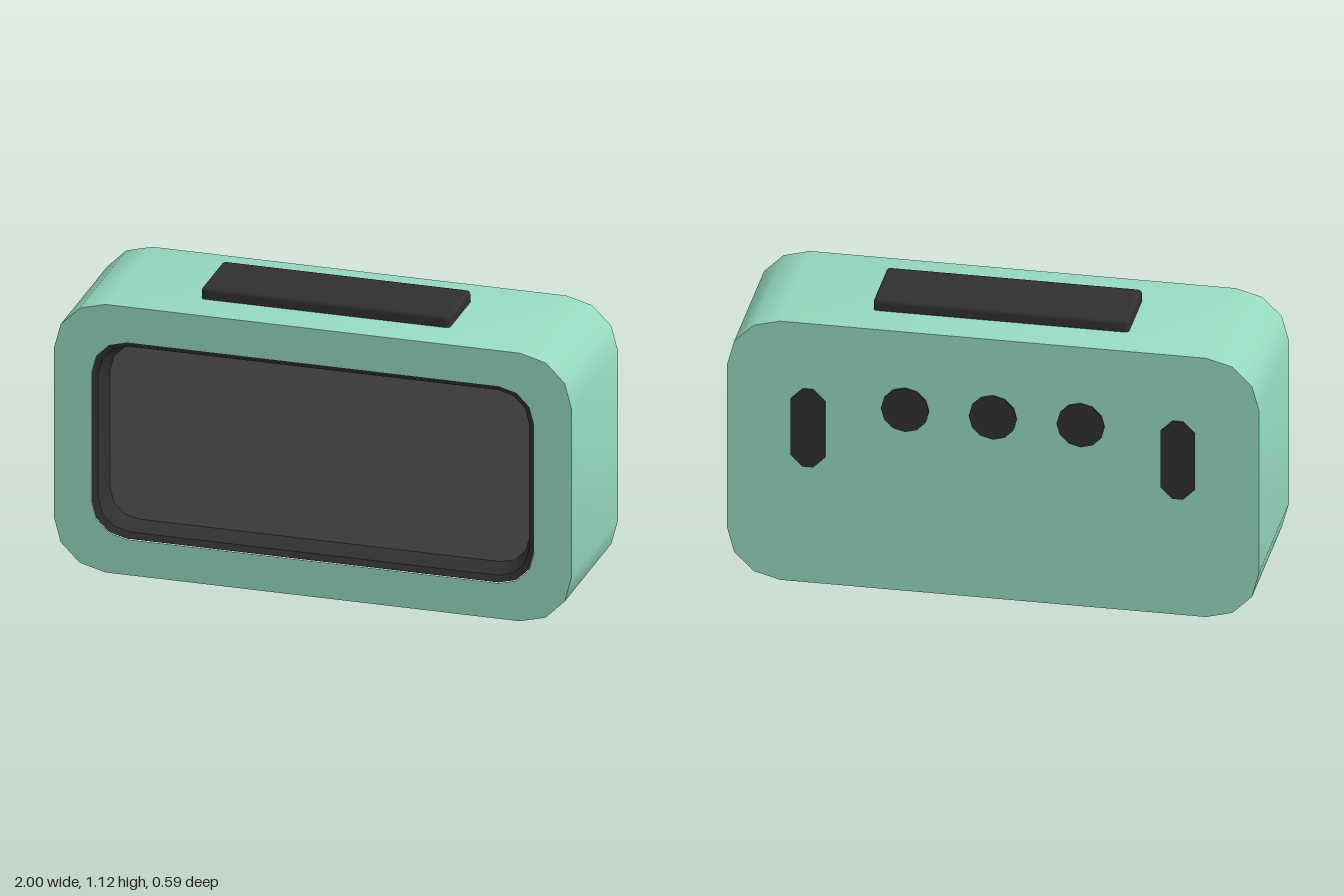
import * as THREE from 'three';
import { toCreasedNormals } from 'three/addons/utils/BufferGeometryUtils.js';
import { RoundedBoxGeometry } from 'three/addons/geometries/RoundedBoxGeometry.js';

const green = new THREE.MeshStandardMaterial({ color: 0x96d9c0 });
const dark = new THREE.MeshStandardMaterial({ color: 0x303030 });
const grey = new THREE.MeshStandardMaterial({ color: 0x555555 });

// Rounded rectangle outline, counter-clockwise seen from the front
function outline([w, h, r, z], steps) {
  const points = [];
  for (let corner = 0; corner < 4; corner++) {
    const sx = corner === 0 || corner === 3 ? 1 : -1;
    const sy = corner < 2 ? 1 : -1;
    for (let i = 0; i <= steps; i++) {
      const a = (corner + i / steps) * Math.PI / 2;
      points.push([sx * (w - r) + r * Math.cos(a), sy * (h - r) + r * Math.sin(a), z]);
    }
  }
  return points;
}

// Skin through rings of [halfWidth, halfHeight, cornerRadius, z], with optional flat caps
function loft(rings, { steps = 3, back = false, front = false } = {}) {
  const loops = rings.map((ring) => outline(ring, steps));
  const n = loops[0].length;
  const index = [];
  for (let k = 0; k < loops.length - 1; k++) {
    for (let i = 0; i < n; i++) {
      const a = k * n + i, b = k * n + (i + 1) % n;
      index.push(a, b, b + n, a, b + n, a + n);
    }
  }
  const last = (loops.length - 1) * n;
  for (let i = 1; i < n - 1; i++) {
    if (back) index.push(0, i + 1, i);
    if (front) index.push(last, last + i, last + i + 1);
  }
  const geometry = new THREE.BufferGeometry();
  geometry.setAttribute('position', new THREE.Float32BufferAttribute(loops.flat(2), 3));
  geometry.setIndex(index);
  return toCreasedNormals(geometry, 0.7);
}

export function createModel() {
  const model = new THREE.Group();
  const add = (name, geometry, material, x, y, z = 0) => {
    const mesh = new THREE.Mesh(geometry, material);
    mesh.name = name;
    mesh.position.set(x, y, z);
    model.add(mesh);
    return mesh;
  };

  // Case: back plate, rounded sides and front rim around the opening
  const opening = [0.855, 0.393, 0.137, 0.295];
  add('case', loft([
    [1, 0.535, 0.2, -0.288],
    [1, 0.535, 0.2, 0.295],
    opening,
  ], { back: true }), green, 0, 0.535);

  // Bezel sloping into the recess, and the screen at its bottom
  const screenEdge = [0.81, 0.348, 0.112, 0.205];
  add('bezel', loft([opening, [0.832, 0.37, 0.12, 0.283], screenEdge]), dark, 0, 0.538);
  add('screen', loft([screenEdge], { front: true }), grey, 0, 0.538);

  // Long button on top
  add('topButton', new RoundedBoxGeometry(0.96, 0.085, 0.275, 2, 0.015), dark, 0, 1.0725, 0.002);

  // Slots and round knobs on the back
  for (const x of [-0.695, 0.695]) {
    add('backSlot', loft([[0.065, 0.16, 0.045, -0.295], [0.065, 0.16, 0.045, -0.287]],
      { steps: 1, back: true }), dark, x, 0.64);
  }
  for (const x of [-0.33, 0, 0.33]) {
    const knob = add('backKnob', new THREE.CylinderGeometry(0.09, 0.09, 0.01, 12), dark, x, 0.75, -0.29);
    knob.rotation.x = Math.PI / 2;
  }
  return model;
}
